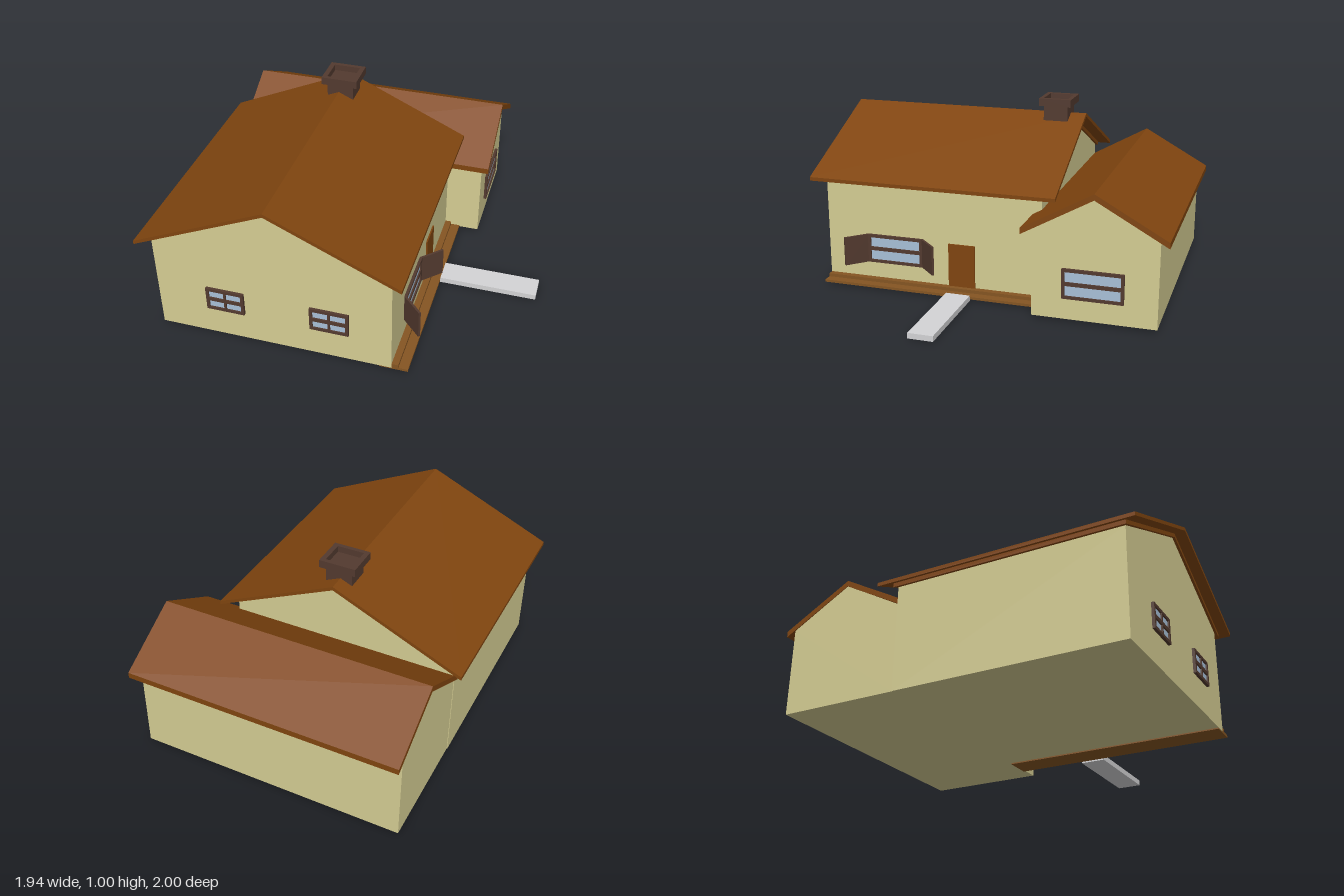
import * as THREE from 'three';

const mat = (name, color) => {
  const m = new THREE.MeshStandardMaterial({ color });
  m.name = name;
  return m;
};

export function createModel() {
  const house = new THREE.Group();
  house.name = 'house';
  const wall = mat('cream wall', 0xd5cd93);
  const brown = mat('roof brown', 0x80450f);
  const deckWood = mat('deck wood', 0x855522);
  const dark = mat('dark wood', 0x533a2f);
  const glass = mat('window glass', 0xa8c0d8);
  const stone = mat('path stone', 0xd4d4d6);

  const add = (name, geometry, material, parent = house) => {
    const m = new THREE.Mesh(geometry, material);
    m.name = name;
    parent.add(m);
    return m;
  };

  // Box given by its limits on each axis
  const box = (name, material, [x0, x1], [y0, y1], [z0, z1]) =>
    add(name, new THREE.BoxGeometry(x1 - x0, y1 - y0, z1 - z0), material)
      .position.set((x0 + x1) / 2, (y0 + y1) / 2, (z0 + z1) / 2);

  // Outline extruded from one depth to another
  const prism = (points, from, to) => {
    const shape = new THREE.Shape(points.map(p => new THREE.Vector2(...p)));
    return new THREE.ExtrudeGeometry(shape, { depth: to - from, bevelEnabled: false }).translate(0, 0, from);
  };

  // Bent roof slab: eave, ridge, eave, with an even vertical thickness
  const roof = (line, t, from, to) =>
    prism([...line.map(([u, y]) => [u, y - t]), ...line.slice().reverse()], from, to);

  // Main house, ridge running front to back
  add('mainWalls', prism([[-0.91, 0.015], [0.345, 0.015], [0.345, 0.595],
    [-0.265, 0.872], [-0.91, 0.58]], -0.3, 0.93), wall);
  add('mainRoof', roof([[-0.97, 0.597], [-0.265, 0.912], [0.41, 0.605]], 0.02, -0.385, 1), brown);
  add('mainRoofTrim', roof([[-0.938, 0.591], [-0.265, 0.892], [0.38, 0.599]], 0.022, -0.312, 0.943), brown);

  // Rear wing, ridge running side to side (outline drawn in -z, y)
  add('wingWalls', prism([[0.3, 0.015], [0.95, 0.015], [0.95, 0.487],
    [0.625, 0.671], [0.3, 0.487]], -0.907, 0.54).rotateY(Math.PI / 2), wall);
  add('wingRoof', roof([[0.25, 0.493], [0.625, 0.702], [1, 0.493]], 0.032, -0.91, 0.585)
    .rotateY(Math.PI / 2), brown);

  // Chimney with a hollow cap
  box('chimneyShaft', dark, [-0.33, -0.183], [0.7, 0.968], [-0.297, -0.16]);
  const rect = (Type, x0, x1, y0, y1) => new Type([[x0, y0], [x1, y0], [x1, y1], [x0, y1]]
    .map(p => new THREE.Vector2(...p)));
  const ring = rect(THREE.Shape, -0.1, 0.1, -0.091, 0.091);
  ring.holes.push(rect(THREE.Path, -0.073, 0.073, -0.068, 0.068));
  add('chimneyCap', new THREE.ExtrudeGeometry(ring, { depth: 0.042, bevelEnabled: false })
    .rotateX(-Math.PI / 2), dark).position.set(-0.256, 0.96, -0.229);

  // Window with a pierced frame, facing +z before turning
  const makeWindow = (name, w, h, cols, rows, pos, turn = 0) => {
    const g = new THREE.Group();
    g.name = name;
    const border = 0.016, bar = 0.02;
    const frame = rect(THREE.Shape, -w / 2, w / 2, -h / 2, h / 2);
    const pw = (w - 2 * border - (cols - 1) * bar * 0.6) / cols;
    const ph = (h - 2 * border - (rows - 1) * bar) / rows;
    for (let i = 0; i < cols; i++) for (let j = 0; j < rows; j++) {
      const x = -w / 2 + border + i * (pw + bar * 0.6);
      const y = -h / 2 + border + j * (ph + bar);
      frame.holes.push(rect(THREE.Path, x, x + pw, y, y + ph));
    }
    add('windowFrame', new THREE.ExtrudeGeometry(frame, { depth: 0.015, bevelEnabled: false }), dark, g);
    add('windowGlass', new THREE.BoxGeometry(w - 0.01, h - 0.01, 0.006), glass, g).position.z = 0.004;
    g.position.set(...pos);
    g.rotation.y = turn;
    house.add(g);
  };
  makeWindow('frontRightWindow', 0.205, 0.135, 2, 2, [-0.535, 0.252, 0.93]);
  makeWindow('frontLeftWindow', 0.205, 0.135, 2, 2, [0.022, 0.252, 0.93]);
  makeWindow('sideWindow', 0.32, 0.16, 1, 2, [0.345, 0.21, 0.53], Math.PI / 2);
  makeWindow('wingWindow', 0.32, 0.16, 1, 2, [0.54, 0.21, -0.62], Math.PI / 2);

  // Shutters standing half open on both sides of the side window
  for (const s of [-1, 1]) {
    const shutter = add(s > 0 ? 'frontShutter' : 'rearShutter',
      new THREE.BoxGeometry(0.012, 0.16, 0.142).translate(0, 0, s * 0.071), dark);
    shutter.position.set(0.35, 0.21, 0.53 + s * 0.158);
    shutter.rotation.y = s * Math.PI / 4;
  }

  // Door, deck steps and path
  box('door', brown, [0.34, 0.353], [0.03, 0.28], [0.07, 0.22]);
  box('lowerDeck', deckWood, [0.28, 0.43], [0.008, 0.022], [-0.305, 0.928]);
  box('upperDeck', deckWood, [0.34, 0.38], [0.022, 0.04], [-0.299, 0.928]);
  box('path', stone, [0.43, 0.965], [0, 0.03], [0.072, 0.207]);

  return house;
}
